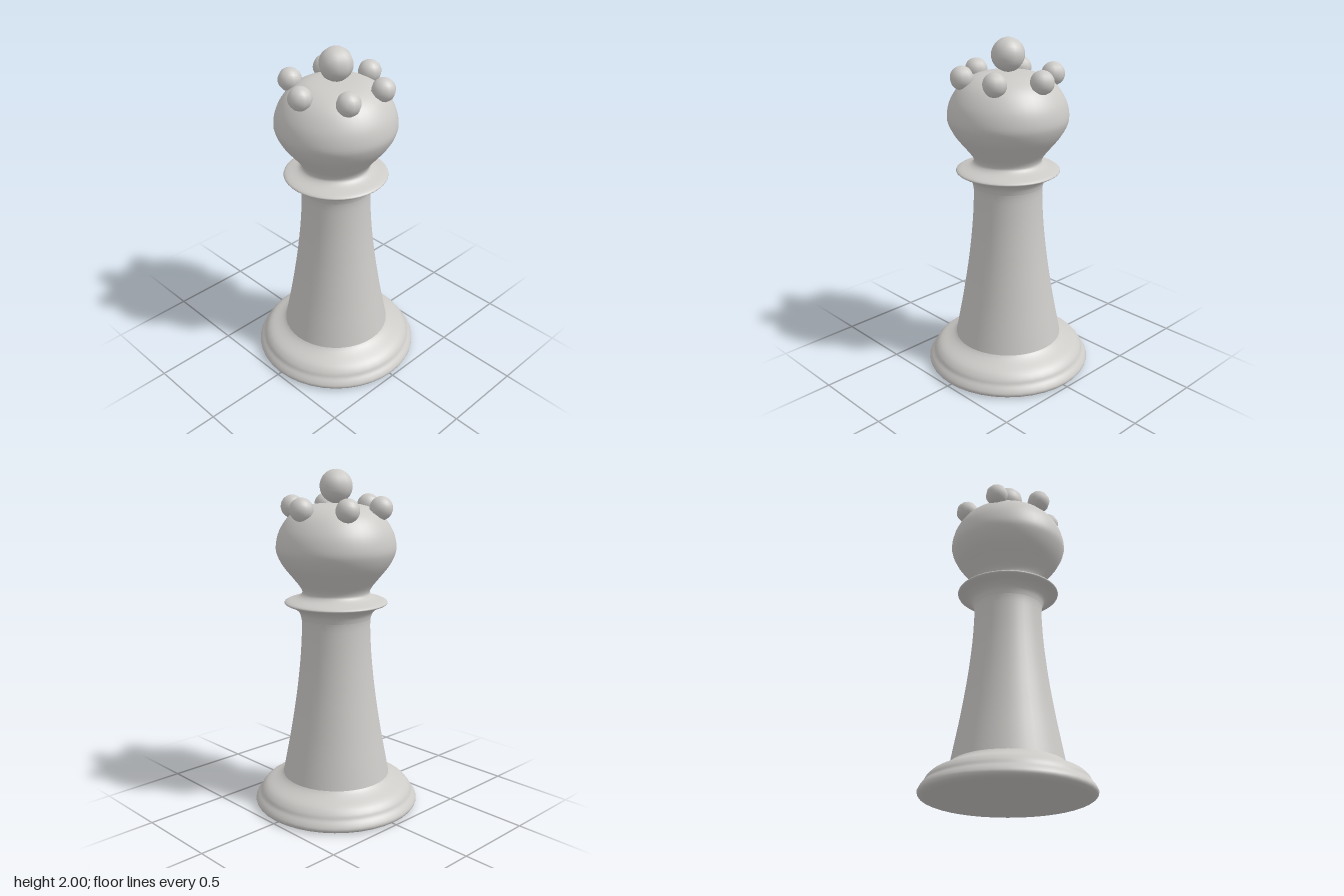
import * as THREE from 'three';

const SIDES = 40;

export function createModel() {
  const group = new THREE.Group();
  const stone = new THREE.MeshStandardMaterial({ color: 0xcdcbc8 });
  stone.name = 'pale grey';

  const add = (name, geometry, x = 0, y = 0, z = 0) => {
    const mesh = new THREE.Mesh(geometry, stone);
    mesh.name = name;
    mesh.position.set(x, y, z);
    group.add(mesh);
    return mesh;
  };

  // Smooth turned part from a few [radius, height] points, bottom to top
  const turned = (name, profile, steps) => {
    const curve = new THREE.SplineCurve(profile.map(([r, y]) => new THREE.Vector2(r, y)));
    const points = curve.getPoints(steps);
    points.forEach((p) => { p.x = Math.max(p.x, 0); });
    return add(name, new THREE.LatheGeometry(points, SIDES));
  };

  // Underside
  const underside = new THREE.CircleGeometry(0.46, SIDES);
  underside.rotateX(Math.PI / 2);
  add('underside', underside, 0, 0.005, 0);

  // Moulded foot
  turned('base', [
    [0.46, 0.005], [0.483, 0.016], [0.491, 0.035], [0.48, 0.058], [0.462, 0.08],
    [0.45, 0.105], [0.42, 0.135], [0.365, 0.162], [0.335, 0.18], [0.32, 0.194],
  ], 27);

  // Tapering column
  turned('column', [
    [0.32, 0.194], [0.298, 0.31], [0.27, 0.46], [0.24, 0.65],
    [0.221, 0.8], [0.207, 0.95], [0.2, 1.1], [0.203, 1.15],
  ], 21);

  // Collar, neck and rounded head
  turned('collarAndHead', [
    [0.203, 1.15], [0.216, 1.187], [0.25, 1.217], [0.292, 1.234], [0.3, 1.245],
    [0.28, 1.257], [0.225, 1.274], [0.2, 1.292], [0.197, 1.31], [0.212, 1.34],
    [0.252, 1.39], [0.304, 1.455], [0.336, 1.515], [0.346, 1.565], [0.333, 1.635],
    [0.303, 1.695], [0.262, 1.745], [0.21, 1.78], [0.15, 1.8], [0.07, 1.808], [0, 1.81],
  ], 60);

  // Ring of crown beads
  for (let i = 0; i < 6; i++) {
    const a = (i * Math.PI) / 3;
    add('crownBead' + (i + 1), new THREE.SphereGeometry(0.067, 10, 14),
      0.262 * Math.cos(a), 1.787, 0.262 * Math.sin(a));
  }

  // Finial ball
  const finial = add('finial', new THREE.SphereGeometry(0.095, 10, 16), 0, 1.905, 0);
  finial.rotation.y = Math.PI / 2;

  return group;
}
